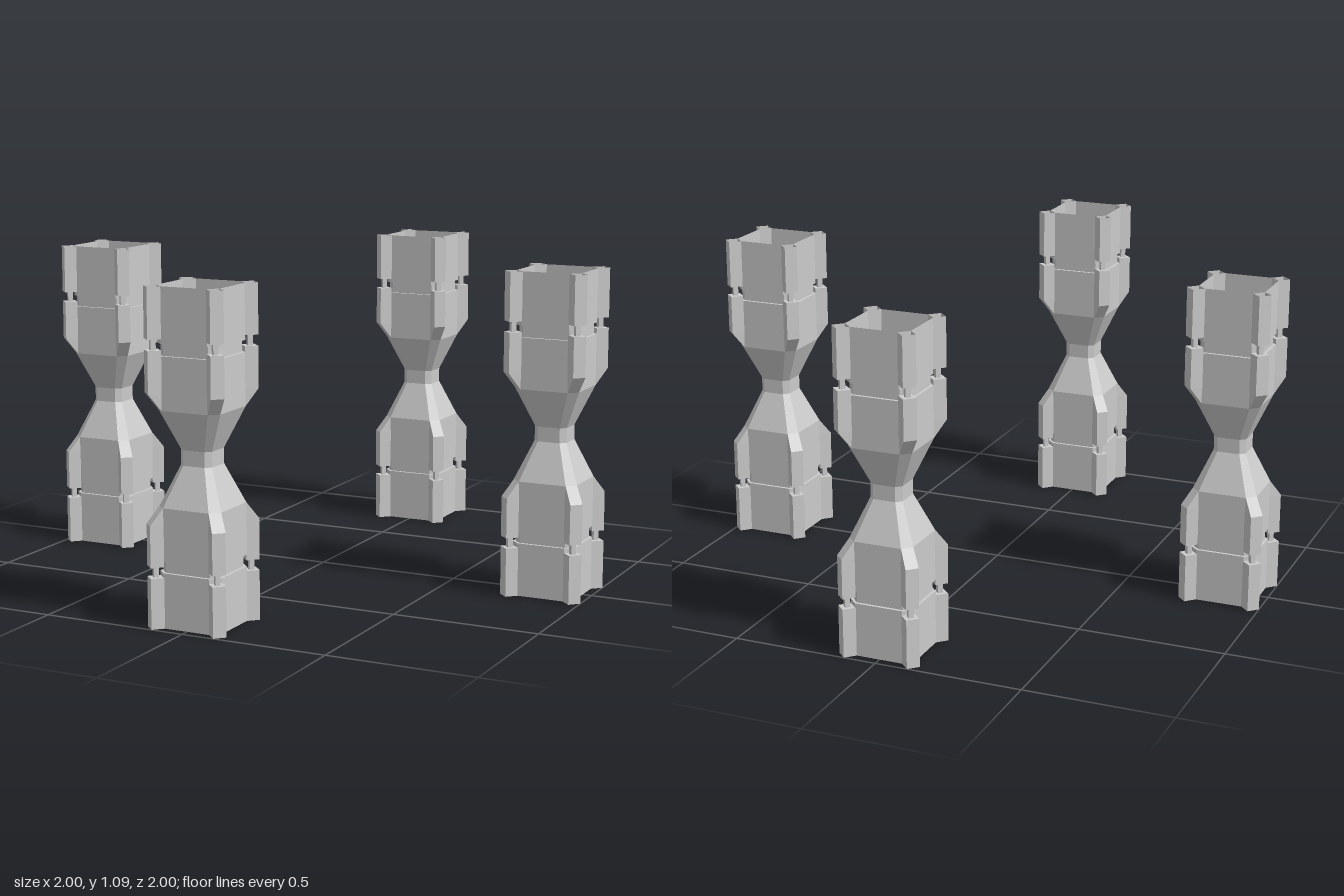
import * as THREE from 'three';

const H = 1.09; // tower height
const material = new THREE.MeshStandardMaterial({
  color: 0xcccccc, flatShading: true, side: THREE.DoubleSide,
});

// Skin stacked rings ([x, y, z] corners, same count in each) into an open tube.
function loft(rings) {
  const n = rings[0].length;
  const index = [];
  for (let r = 0; r < rings.length - 1; r++) {
    for (let i = 0; i < n; i++) {
      const a = r * n + i, b = r * n + (i + 1) % n;
      index.push(a, a + n, b, b, a + n, b + n);
    }
  }
  const indexed = new THREE.BufferGeometry();
  indexed.setAttribute('position', new THREE.Float32BufferAttribute(rings.flat(2), 3));
  indexed.setIndex(index);
  const geometry = indexed.toNonIndexed();
  geometry.computeVertexNormals();
  return geometry;
}

// Square ring with cut corners: h = half width, f = half length of each flat.
function wallRing(y, h, f) {
  return [[h, f], [f, h], [-f, h], [-h, f], [-h, -f], [-f, -h], [f, -h], [h, -f]]
    .map(([x, z]) => [x, y, z]);
}

// Diamond ring of half diagonal d around the corner (c, c).
function postRing(y, d, c = 0.111) {
  return [[c + d, c], [c, c + d], [c - d, c], [c, c - d]].map(([x, z]) => [x, y, z]);
}

// Wall profile of the upper half, neck to rim, with a shallow groove.
const wallProfile = [
  [0.57, 0.056, 0.038], [0.70, 0.111, 0.082],
  [0.872, 0.111, 0.082], [0.872, 0.101, 0.08],
  [0.91, 0.101, 0.08], [0.91, 0.111, 0.082], [H, 0.111, 0.082],
];

// Corner post of the upper half: wedge end, shaft, pinched notch, top block.
function postGeometry() {
  const a = [0.111, 0.70, 0.082], b = [0.082, 0.70, 0.111];
  return loft([
    [a, b, b, a],
    postRing(0.755, 0.031),
    postRing(0.89, 0.031), postRing(0.89, 0.012),
    postRing(0.925, 0.012), postRing(0.925, 0.031), postRing(H, 0.031),
  ]);
}

function mesh(geometry, name) {
  const m = new THREE.Mesh(geometry, material);
  m.name = name;
  return m;
}

function createTower(wallGeometry, post) {
  const tower = new THREE.Group();
  tower.add(mesh(wallGeometry, 'hollowWall'));
  for (let i = 0; i < 4; i++) {
    const upper = mesh(post.upper, 'upperCornerPost');
    const lower = mesh(post.lower, 'lowerCornerPost');
    upper.rotation.y = lower.rotation.y = i * Math.PI / 2;
    tower.add(upper, lower);
  }
  return tower;
}

export function createModel() {
  const model = new THREE.Group();
  model.name = 'fourTowers';

  // The lower half mirrors the upper half about the neck.
  const upperRings = wallProfile.map(([y, h, f]) => wallRing(y, h, f));
  const lowerRings = wallProfile.map(([y, h, f]) => wallRing(H - y, h, f)).reverse();
  const wall = loft([...lowerRings, ...upperRings]);

  // Turning half round the diagonal axis keeps the post on its own corner.
  const upper = postGeometry();
  const lower = upper.clone().translate(0, -H / 2, 0)
    .applyMatrix4(new THREE.Matrix4().makeRotationAxis(
      new THREE.Vector3(1, 0, 1).normalize(), Math.PI))
    .translate(0, H / 2, 0);

  const places = [
    ['frontTower', 0, 0.858], ['backTower', 0, -0.858],
    ['leftTower', 0.858, 0], ['rightTower', -0.858, 0],
  ];
  for (const [name, x, z] of places) {
    const tower = createTower(wall, { upper, lower });
    tower.name = name;
    tower.position.set(x, 0, z);
    model.add(tower);
  }
  return model;
}
